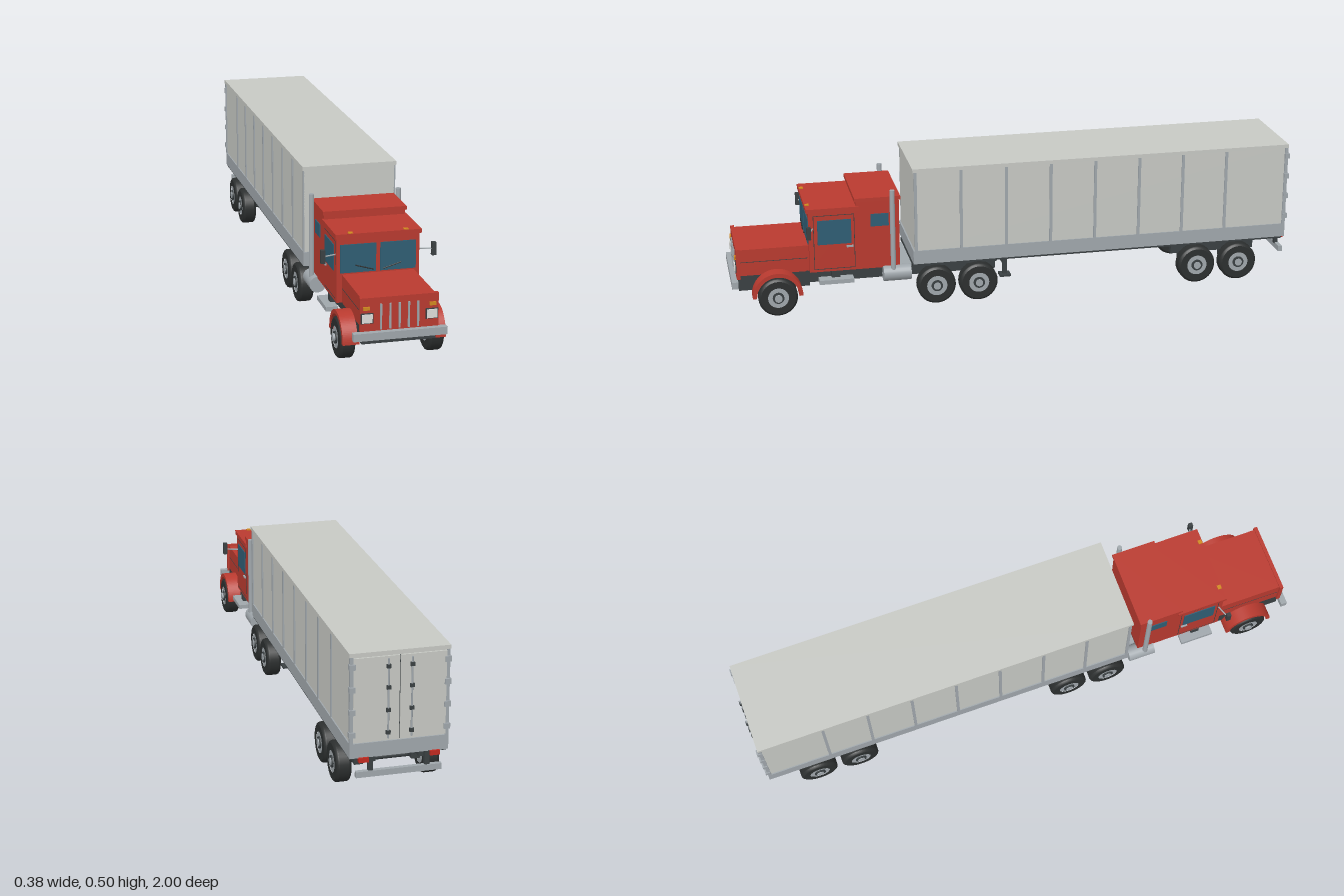
import * as THREE from 'three';

const paint = (name, color) => Object.assign(new THREE.MeshStandardMaterial({ color }), { name });

export function createModel() {
  const red = paint('red paint', 0xb93a2f);
  const wall = paint('trailer wall', 0xc7c9c4);
  const metal = paint('grey metal', 0xa0a7ac);
  const dark = paint('dark frame', 0x3a4042);
  const rubber = paint('tyre rubber', 0x2c2f2f);
  const glass = paint('window glass', 0x2f5e74);
  const amber = paint('amber lamp', 0xd0891f);
  const lamp = paint('headlamp', 0xdededa);
  const tail = paint('tail lamp', 0xc22a20);

  const truck = new THREE.Group();
  truck.name = 'truck';
  const tractor = new THREE.Group();
  tractor.name = 'tractor';
  const trailer = new THREE.Group();
  trailer.name = 'trailer';
  truck.add(tractor, trailer);

  const put = (parent, name, geometry, mat, x = 0, y = 0, z = 0) => {
    const m = new THREE.Mesh(geometry, mat);
    m.name = name;
    m.position.set(x, y, z);
    parent.add(m);
    return m;
  };
  // box given by its limits on each axis
  const box = (parent, name, mat, x0, x1, y0, y1, z0, z1) =>
    put(parent, name, new THREE.BoxGeometry(x1 - x0, y1 - y0, z1 - z0), mat,
      (x0 + x1) / 2, (y0 + y1) / 2, (z0 + z1) / 2);
  // the same box on both sides
  const pair = (parent, name, mat, x0, x1, ...r) => {
    box(parent, name + 'Left', mat, x0, x1, ...r);
    box(parent, name + 'Right', mat, -x1, -x0, ...r);
  };
  // rod between two points
  const rod = (parent, name, mat, a, b, radius, sides = 16) => {
    const p = new THREE.Vector3(...a), q = new THREE.Vector3(...b);
    const m = put(parent, name, new THREE.CylinderGeometry(radius, radius, p.distanceTo(q), sides), mat);
    m.position.copy(p).add(q).multiplyScalar(0.5);
    m.quaternion.setFromUnitVectors(new THREE.Vector3(0, 1, 0), q.sub(p).normalize());
    return m;
  };

  // wheels and axles
  const R = 0.068;
  const pts = (list) => list.map(([r, y]) => new THREE.Vector2(r, y));
  const tyreGeo = new THREE.LatheGeometry(pts([[0.036, -0.025], [0.06, -0.025], [0.06, -0.025], [0.066, -0.021],
    [R, -0.016], [R, -0.016], [R, 0.016], [R, 0.016], [0.066, 0.021], [0.06, 0.025], [0.06, 0.025], [0.036, 0.025]]), 32);
  const wheel = (parent, s, z, hub) => {
    const g = new THREE.Group();
    g.name = 'wheel';
    put(g, 'tyre', tyreGeo, rubber);
    put(g, 'rim', new THREE.CylinderGeometry(0.038, 0.038, 0.046, 28), metal);
    put(g, 'hubRing', new THREE.CylinderGeometry(0.02, 0.02, 0.008, 20), dark, 0, 0.024, 0);
    put(g, 'hubCap', new THREE.CylinderGeometry(0.013, 0.013, hub, 16), metal, 0, 0.025 + hub / 2, 0);
    g.rotation.z = -s * Math.PI / 2;
    g.position.set(s * 0.146, R, z);
    parent.add(g);
  };
  const axle = (parent, z, hub) => {
    for (const s of [1, -1]) wheel(parent, s, z, hub);
    rod(parent, 'axle', dark, [-0.13, R, z], [0.13, R, z], 0.01);
    pair(parent, 'spring', dark, 0.08, 0.11, 0.07, 0.1, z - 0.05, z + 0.05);
  };
  axle(tractor, 0.845, 0.01);
  for (const z of [0.29, 0.14]) axle(tractor, z, 0.006);
  for (const z of [-0.66, -0.815]) axle(trailer, z, 0.006);

  // tractor chassis
  box(tractor, 'chassis', dark, -0.105, 0.105, 0.092, 0.125, 0.07, 0.74);
  box(tractor, 'frontChassis', dark, -0.12, 0.12, 0.086, 0.14, 0.73, 0.975);
  box(tractor, 'rearDeck', dark, -0.14, 0.14, 0.132, 0.143, 0.07, 0.37);
  box(tractor, 'couplingPlate', dark, -0.07, 0.07, 0.125, 0.148, 0.14, 0.3);
  box(tractor, 'cabFloor', dark, -0.12, 0.12, 0.115, 0.142, 0.42, 0.74);
  box(tractor, 'frontBumper', metal, -0.152, 0.152, 0.105, 0.13, 0.978, 1);

  // hood and grille
  box(tractor, 'hood', red, -0.12, 0.12, 0.138, 0.235, 0.725, 0.975);
  box(tractor, 'grilleShell', red, -0.127, 0.127, 0.13, 0.239, 0.968, 0.981);
  pair(tractor, 'hoodSeam', dark, 0.12, 0.1207, 0.188, 0.19, 0.735, 0.965);
  for (let i = -2; i <= 2; i++)
    box(tractor, 'grilleBar', metal, i * 0.03 - 0.003, i * 0.03 + 0.003, 0.135, 0.218, 0.98, 0.986);
  pair(tractor, 'headlampRim', dark, 0.085, 0.125, 0.156, 0.19, 0.98, 0.984);
  pair(tractor, 'headlamp', lamp, 0.088, 0.122, 0.159, 0.187, 0.983, 0.988);
  pair(tractor, 'indicator', amber, 0.097, 0.118, 0.2, 0.211, 0.98, 0.986);

  // arched front fenders
  const arch = new THREE.Shape();
  arch.absarc(0, 0, 0.087, 0, Math.PI, false);
  arch.absarc(0, 0, 0.073, Math.PI, 0, true);
  const archGeo = new THREE.ExtrudeGeometry(arch, { depth: 0.054, bevelEnabled: false, curveSegments: 24 });
  archGeo.rotateY(Math.PI / 2);
  for (const s of [1, -1])
    put(tractor, 'frontFender', archGeo, red, s > 0 ? 0.115 : -0.169, 0.07, 0.845);

  // cab and sleeper
  box(tractor, 'cab', red, -0.138, 0.138, 0.14, 0.362, 0.56, 0.73);
  box(tractor, 'cabRoof', red, -0.143, 0.143, 0.358, 0.372, 0.555, 0.738);
  box(tractor, 'sleeper', red, -0.138, 0.138, 0.14, 0.39, 0.415, 0.565);
  box(tractor, 'sleeperRoof', red, -0.142, 0.142, 0.387, 0.4, 0.41, 0.57);
  pair(tractor, 'roofLamp', amber, 0.085, 0.1, 0.37, 0.375, 0.722, 0.736);

  // glazing, doors and wipers
  pair(tractor, 'windshield', glass, 0.007, 0.126, 0.24, 0.335, 0.729, 0.733);
  pair(tractor, 'sideWindow', glass, 0.137, 0.141, 0.24, 0.328, 0.583, 0.7);
  pair(tractor, 'sleeperWindow', glass, 0.137, 0.141, 0.295, 0.34, 0.452, 0.515);
  for (const z of [0.572, 0.713]) pair(tractor, 'doorSeam', dark, 0.1375, 0.1387, 0.15, 0.345, z - 0.001, z + 0.001);
  for (const y of [0.15, 0.345]) pair(tractor, 'doorSeam', dark, 0.1375, 0.1387, y - 0.001, y + 0.001, 0.572, 0.713);
  pair(tractor, 'doorHandle', metal, 0.138, 0.144, 0.226, 0.232, 0.577, 0.6);

  for (const s of [1, -1]) {
    rod(tractor, 'wiper', rubber, [s * 0.015, 0.247, 0.736], [s * 0.076, 0.265, 0.736], 0.002, 8);
    // mirrors
    rod(tractor, 'mirrorArm', metal, [s * 0.135, 0.3, 0.715], [s * 0.182, 0.3, 0.732], 0.0025, 8);
    box(tractor, 'mirror', dark, s * 0.185 - 0.007, s * 0.185 + 0.007, 0.28, 0.324, 0.727, 0.742);
    // exhaust stacks and tanks
    rod(tractor, 'exhaustStack', metal, [s * 0.15, 0.13, 0.44], [s * 0.15, 0.425, 0.44], 0.009);
    rod(tractor, 'fuelTank', metal, [s * 0.137, 0.117, 0.378], [s * 0.137, 0.117, 0.475], 0.028, 24);
  }
  pair(tractor, 'step', metal, 0.125, 0.165, 0.102, 0.117, 0.58, 0.7);
  pair(tractor, 'stepBracket', dark, 0.1, 0.14, 0.105, 0.14, 0.625, 0.655);
  box(tractor, 'rearCatwalk', metal, -0.11, 0.11, 0.125, 0.135, 0.37, 0.415);

  // trailer body
  box(trailer, 'cargoBox', wall, -0.157, 0.157, 0.19, 0.49, -0.985, 0.365);
  box(trailer, 'roof', wall, -0.163, 0.163, 0.486, 0.499, -0.99, 0.37);
  box(trailer, 'floorRail', metal, -0.161, 0.161, 0.15, 0.199, -0.99, 0.37);
  pair(trailer, 'floorEdge', dark, 0.14, 0.158, 0.143, 0.151, -0.98, 0.365);
  for (let i = 0; i < 8; i++) {
    const z = 0.36 - i * 0.16;
    pair(trailer, 'wallRib', metal, 0.156, 0.161, 0.199, 0.486, z - 0.005, z + 0.005);
  }
  pair(trailer, 'rearPost', metal, 0.15, 0.161, 0.199, 0.486, -0.99, -0.978);

  // rear doors with lock rods and hinges
  pair(trailer, 'rearDoor', wall, 0.0015, 0.15, 0.203, 0.482, -0.991, -0.984);
  box(trailer, 'doorGap', dark, -0.002, 0.002, 0.203, 0.482, -0.987, -0.984);
  for (const s of [1, -1]) {
    rod(trailer, 'lockRod', metal, [s * 0.038, 0.21, -0.994], [s * 0.038, 0.475, -0.994], 0.003, 10);
    for (const y of [0.23, 0.305, 0.38, 0.45])
      box(trailer, 'lockBracket', dark, s * 0.038 - 0.007, s * 0.038 + 0.007, y - 0.006, y + 0.006, -0.999, -0.99);
  }
  for (const y of [0.23, 0.305, 0.38, 0.455])
    pair(trailer, 'doorHinge', metal, 0.144, 0.164, y - 0.009, y + 0.009, -0.996, -0.98);

  // trailer underframe
  pair(trailer, 'frameRail', dark, 0.07, 0.088, 0.125, 0.15, -0.97, 0.06);
  for (const z of [0.03, -0.1, -0.54, -0.74, -0.93])
    box(trailer, 'crossMember', dark, -0.13, 0.13, 0.132, 0.148, z - 0.008, z + 0.008);
  pair(trailer, 'bogieRail', dark, 0.082, 0.106, 0.095, 0.13, -0.89, -0.58);

  // landing legs
  pair(trailer, 'landingLeg', dark, 0.1, 0.116, 0.07, 0.15, 0.028, 0.044);
  pair(trailer, 'landingFoot', dark, 0.088, 0.128, 0.064, 0.071, 0.016, 0.056);
  box(trailer, 'landingBrace', dark, -0.11, 0.11, 0.1, 0.108, 0.032, 0.04);

  // rear guard and lamps
  box(trailer, 'rearGuard', metal, -0.14, 0.14, 0.084, 0.104, -0.993, -0.978);
  pair(trailer, 'guardHanger', dark, 0.084, 0.1, 0.1, 0.152, -0.99, -0.976);
  pair(trailer, 'tailLamp', tail, 0.1, 0.132, 0.136, 0.152, -0.997, -0.982);

  return truck;
}
